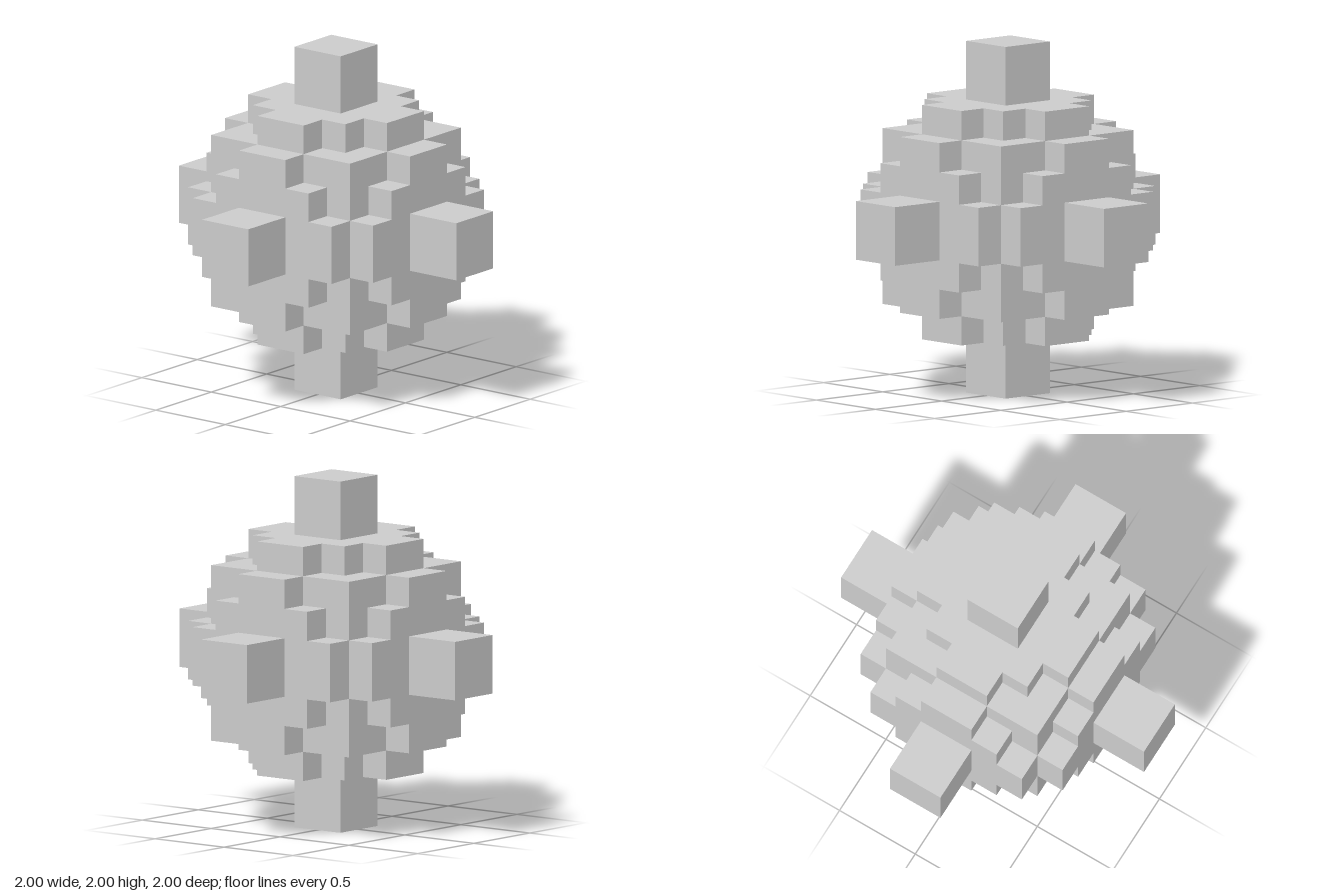
import * as THREE from 'three';

const U = 1 / 6; // grid unit of the block pattern

// Stepped cross outline, built one quadrant at a time
function crossShape() {
  const corner = [[3, -1], [3, 1], [2, 1], [2, 2], [1, 2]];
  const points = [];
  for (let q = 0; q < 4; q++) {
    const c = Math.round(Math.cos(q * Math.PI / 2));
    const s = Math.round(Math.sin(q * Math.PI / 2));
    for (const [x, y] of corner) {
      points.push(new THREE.Vector2((x * c - y * s) * U, (x * s + y * c) * U));
    }
  }
  return new THREE.Shape(points);
}

export function createModel() {
  const group = new THREE.Group();
  const material = new THREE.MeshStandardMaterial({ color: 0xcccccc, flatShading: true });

  const add = (parent, name, geometry, z = 0) => {
    const mesh = new THREE.Mesh(geometry, material);
    mesh.name = name;
    mesh.position.z = z;
    parent.add(mesh);
  };

  const body = new THREE.Group();
  body.name = 'body';
  body.position.y = 1;
  group.add(body);

  // Central cube
  add(body, 'core', new THREE.BoxGeometry(6 * U, 6 * U, 6 * U));

  // Each side carries a stepped plate with a cube on it
  const plate = new THREE.ExtrudeGeometry(crossShape(), { depth: U, bevelEnabled: false });
  const knob = new THREE.BoxGeometry(2 * U, 2 * U, 2 * U);
  const h = Math.PI / 2;
  const sides = {
    front: [0, 0], back: [0, 2 * h], left: [0, h],
    right: [0, -h], top: [-h, 0], bottom: [h, 0],
  };
  for (const [name, [rx, ry]] of Object.entries(sides)) {
    const side = new THREE.Group();
    side.name = name + 'Side';
    side.rotation.set(rx, ry, 0);
    add(side, name + 'Plate', plate, 3 * U);
    add(side, name + 'Knob', knob, 5 * U);
    body.add(side);
  }
  return group;
}
